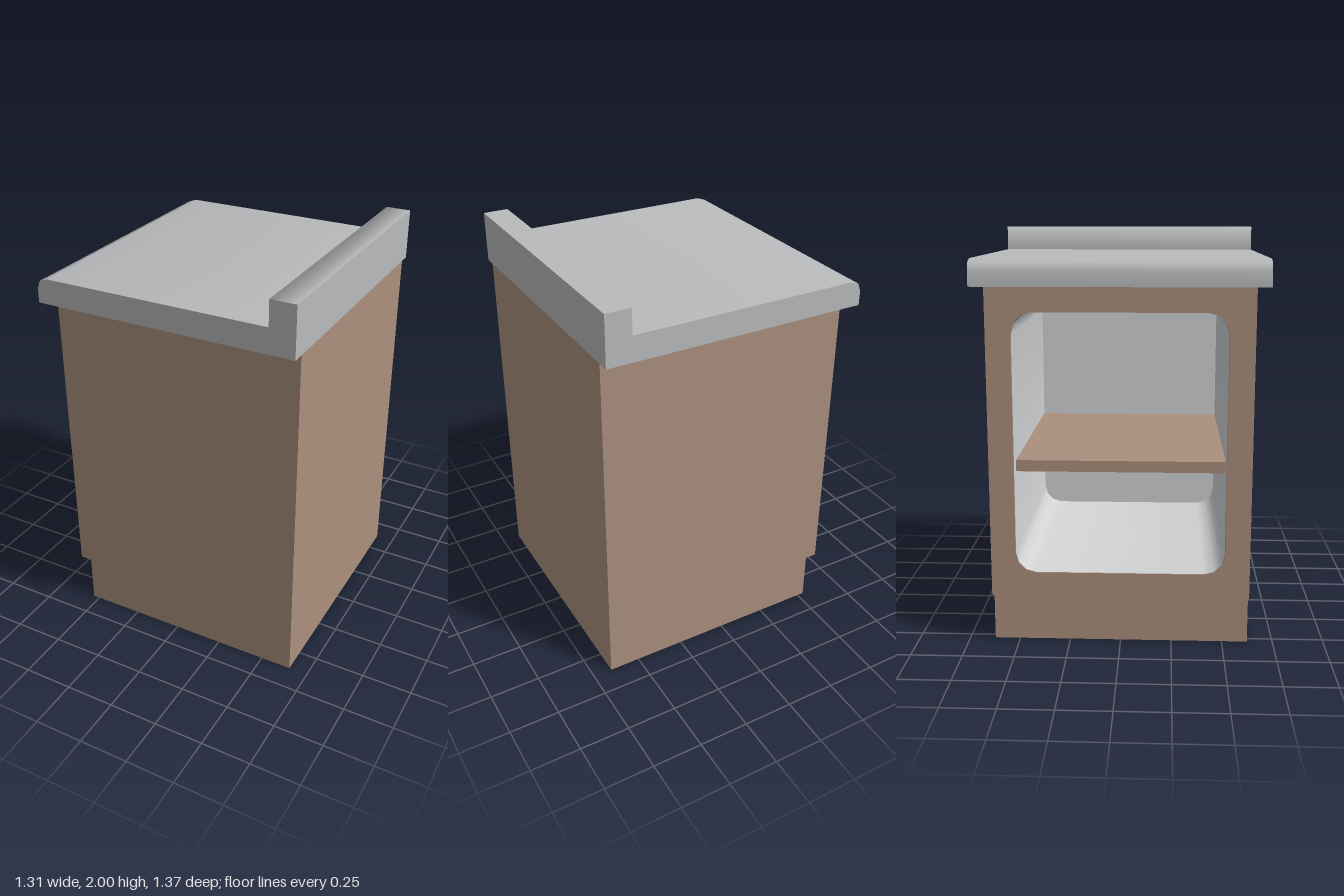
import * as THREE from 'three';
import { mergeGeometries } from 'three/addons/utils/BufferGeometryUtils.js';

// Smooth strip that sweeps a 2D path along z; its front is left of the path
function ribbon(points, z0, z1, closed = false) {
  const n = points.length, pos = [], nor = [], idx = [];
  const segNormal = (i) => {
    const a = points[(i + n) % n], b = points[(i + 1 + n) % n];
    return new THREE.Vector2(a.y - b.y, b.x - a.x).normalize();
  };
  points.forEach((p, i) => {
    const v = new THREE.Vector2();
    if (closed || i > 0) v.add(segNormal(i - 1));
    if (closed || i < n - 1) v.add(segNormal(i));
    v.normalize();
    pos.push(p.x, p.y, z0, p.x, p.y, z1);
    nor.push(v.x, v.y, 0, v.x, v.y, 0);
  });
  for (let i = 0; i < (closed ? n : n - 1); i++) {
    const a = 2 * i, d = 2 * ((i + 1) % n);
    idx.push(a, a + 1, d + 1, a, d + 1, d);
  }
  const g = new THREE.BufferGeometry();
  g.setAttribute('position', new THREE.Float32BufferAttribute(pos, 3));
  g.setAttribute('normal', new THREE.Float32BufferAttribute(nor, 3));
  g.setIndex(idx);
  return g;
}

// Counter-clockwise rounded rectangle
function roundedRect(w, y0, y1, r, steps = 3) {
  const pts = [];
  const centres = [[w - r, y1 - r], [r - w, y1 - r], [r - w, y0 + r], [w - r, y0 + r]];
  centres.forEach(([cx, cy], k) => {
    for (let i = 0; i <= steps; i++) {
      const a = (k + i / steps) * Math.PI / 2;
      pts.push(new THREE.Vector2(cx + r * Math.cos(a), cy + r * Math.sin(a)));
    }
  });
  return pts;
}

const vec = (list) => list.map(([x, y]) => new THREE.Vector2(x, y));

export function createModel() {
  const group = new THREE.Group();
  const material = (name, color) => {
    const m = new THREE.MeshStandardMaterial({ color });
    m.name = name;
    return m;
  };
  const wood = material('brown wood', 0xab907d);
  const stone = material('grey worktop', 0xb9babc);
  const lining = material('pale grey lining', 0xd2d4d6);

  const add = (name, geometry, mat) => {
    const mesh = new THREE.Mesh(geometry, mat);
    mesh.name = name;
    group.add(mesh);
    return mesh;
  };
  const box = (name, mat, x0, x1, y0, y1, halfZ) =>
    add(name, new THREE.BoxGeometry(x1 - x0, y1 - y0, halfZ * 2), mat)
      .position.set((x0 + x1) / 2, (y0 + y1) / 2, 0);

  // Cabinet carcass with a rounded opening facing -x
  const shape = new THREE.Shape(vec([[-0.625, 0.25], [0.625, 0.25], [0.625, 1.75], [-0.625, 1.75]]));
  shape.holes.push(new THREE.Path(roundedRect(0.505, 0.37, 1.63, 0.1)));
  const carcass = new THREE.ExtrudeGeometry(shape, { depth: 1.19, bevelEnabled: false });
  carcass.rotateY(Math.PI / 2).translate(-0.595, 0, 0);
  add('carcass', carcass, wood);
  box('backPanel', wood, 0.595, 0.655, 0.25, 1.75, 0.625);
  box('plinth', wood, -0.535, 0.655, 0, 0.25, 0.625);

  // Lining of the cupboard: rounded walls and end wall
  const inner = roundedRect(0.503, 0.372, 1.628, 0.098);
  add('liningWalls', ribbon(inner, -0.594, 0.59, true).rotateY(Math.PI / 2), lining);
  const end = new THREE.ShapeGeometry(new THREE.Shape(inner));
  add('liningEnd', end.rotateY(-Math.PI / 2).translate(0.59, 0, 0), lining);

  // Shelf
  box('shelf', wood, -0.535, 0.589, 0.86, 0.915, 0.502);

  // Worktop with rounded nose and upstand
  const Z = 0.685;
  const top = vec([[-0.655, 1.75], [-0.655, 1.82], [-0.64, 1.86], [-0.595, 1.875], [0.53, 1.875]]);
  const upstand = vec([[0.53, 1.875], [0.53, 2], [0.655, 2]]);
  const back = vec([[0.655, 2], [0.655, 1.75]]);
  const under = vec([[0.655, 1.75], [-0.655, 1.75]]);
  const outline = [...top, ...upstand.slice(1), back[1]];
  const cap = (sign) => {
    const pts = outline.map((p) => new THREE.Vector2(p.x * sign, p.y));
    const g = new THREE.ShapeGeometry(new THREE.Shape(pts)).translate(0, 0, Z);
    g.deleteAttribute('uv');
    return sign < 0 ? g.rotateY(Math.PI) : g;
  };
  const strips = [top, upstand, back, under].map((path) => ribbon(path, -Z, Z));
  add('worktop', mergeGeometries([...strips, cap(1), cap(-1)]), stone);

  return group;
}
